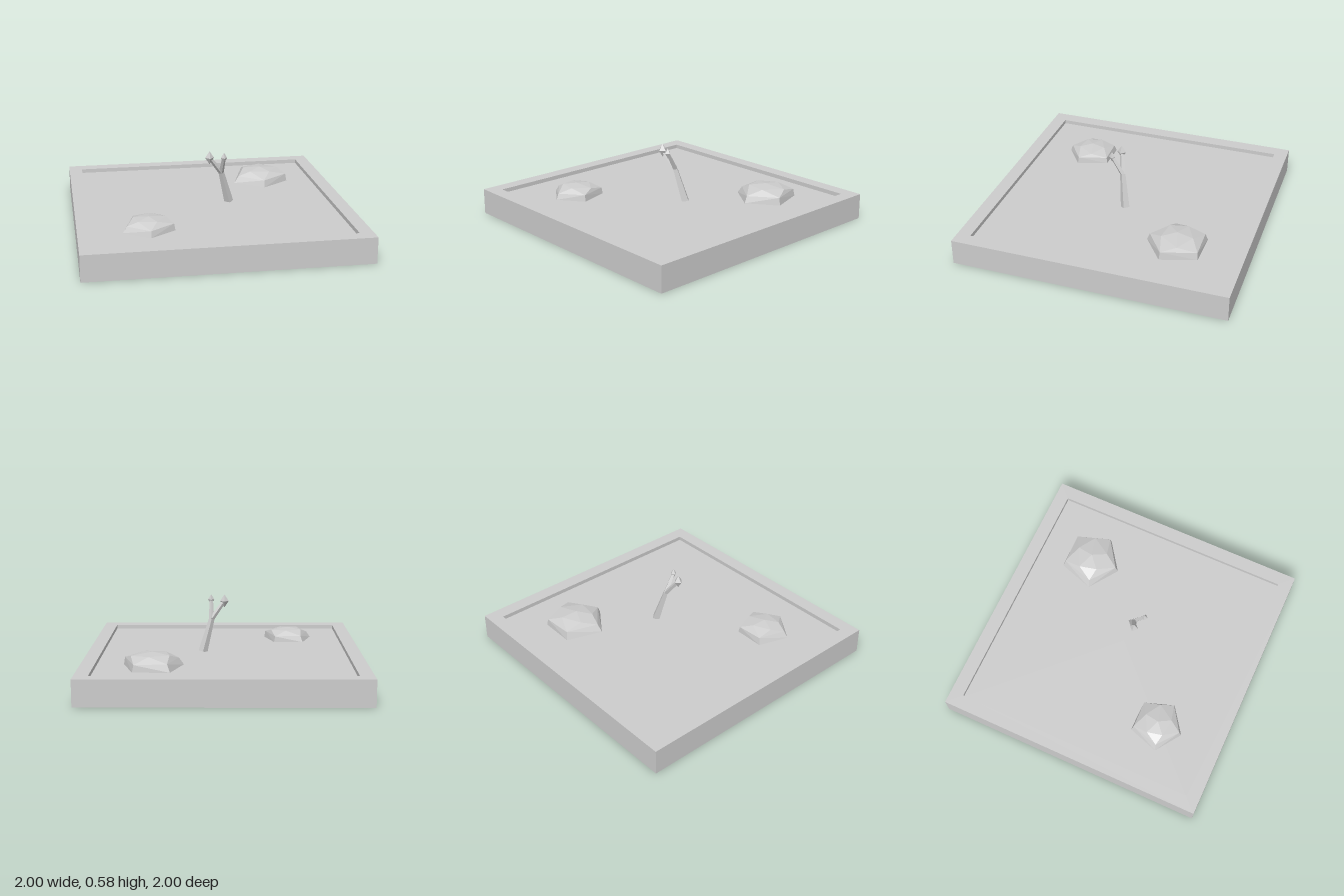
import * as THREE from 'three';
import { ConvexGeometry } from 'three/addons/geometries/ConvexGeometry.js';

const FLOOR = 0.16;
const V = (x, y, z) => new THREE.Vector3(x, y, z);

export function createModel() {
  const model = new THREE.Group();
  const stone = new THREE.MeshStandardMaterial({ color: 0xcccccc, flatShading: true, side: THREE.DoubleSide });
  stone.name = 'pale grey';

  function add(geometry, name, parent = model) {
    const mesh = new THREE.Mesh(geometry, stone);
    mesh.name = name;
    parent.add(mesh);
    return mesh;
  }

  // Square tray, open underneath: outer wall, rim, recess step and floor
  const section = [[1, 0], [1, 0.19], [0.9, 0.19], [0.9, FLOOR], [0, FLOOR]]
    .map(([r, y]) => new THREE.Vector2(r * Math.SQRT2, y));
  const tray = new THREE.LatheGeometry(section, 4, Math.PI / 4).toNonIndexed();
  tray.computeVertexNormals();
  add(tray, 'tray');

  // Faceted rock with a five-sided foot, as x, height, z
  const rockPoints = [
    [-0.13, 0, -0.19], [0.13, 0, -0.185], [0.21, 0, 0.07], [0, 0, 0.22], [-0.215, 0, 0.07],
    [-0.11, 0.055, -0.175], [0.12, 0.05, -0.18], [0.2, 0.055, 0.065], [0, 0.05, 0.2], [-0.18, 0.05, 0.06],
    [0.15, 0.083, -0.04], [0.06, 0.09, 0.1], [-0.09, 0.09, 0.08], [-0.12, 0.088, -0.05], [0.02, 0.092, -0.12],
    [0, 0.105, 0],
  ].map((p) => V(...p));
  const rockGeometry = new ConvexGeometry(rockPoints);
  for (const [name, x, z, size] of [['largeRock', 0.5, -0.5, 1], ['smallRock', -0.5, 0.5, 0.86]]) {
    const rock = add(rockGeometry, name);
    rock.position.set(x, FLOOR, z);
    rock.scale.set(size, size * 1.02, size);
  }

  // Leaning forked plant
  const plant = new THREE.Group();
  plant.name = 'plant';
  model.add(plant);

  function stick(name, from, to, r0, r1) {
    const dir = to.clone().sub(from);
    const mesh = add(new THREE.CylinderGeometry(r1, r0, dir.length(), 4), name, plant);
    mesh.position.copy(from).add(to).multiplyScalar(0.5);
    mesh.quaternion.setFromUnitVectors(V(0, 1, 0), dir.normalize());
  }
  const fork = V(0.095, 0.4, 0.04);
  stick('stem', V(0.16, FLOOR, 0), fork, 0.034, 0.021);

  // Each branch ends in a diamond bud
  const buds = [['right', V(0, 0.53, 0.08), 0.033, 0.05], ['left', V(0.1, 0.535, 0.12), 0.024, 0.04]];
  for (const [side, tip, radius, halfHeight] of buds) {
    stick(side + 'Branch', fork, tip, 0.019, 0.014);
    const bud = add(new THREE.OctahedronGeometry(1), side + 'Bud', plant);
    bud.position.copy(tip);
    bud.scale.set(radius, halfHeight, radius);
  }
  return model;
}
